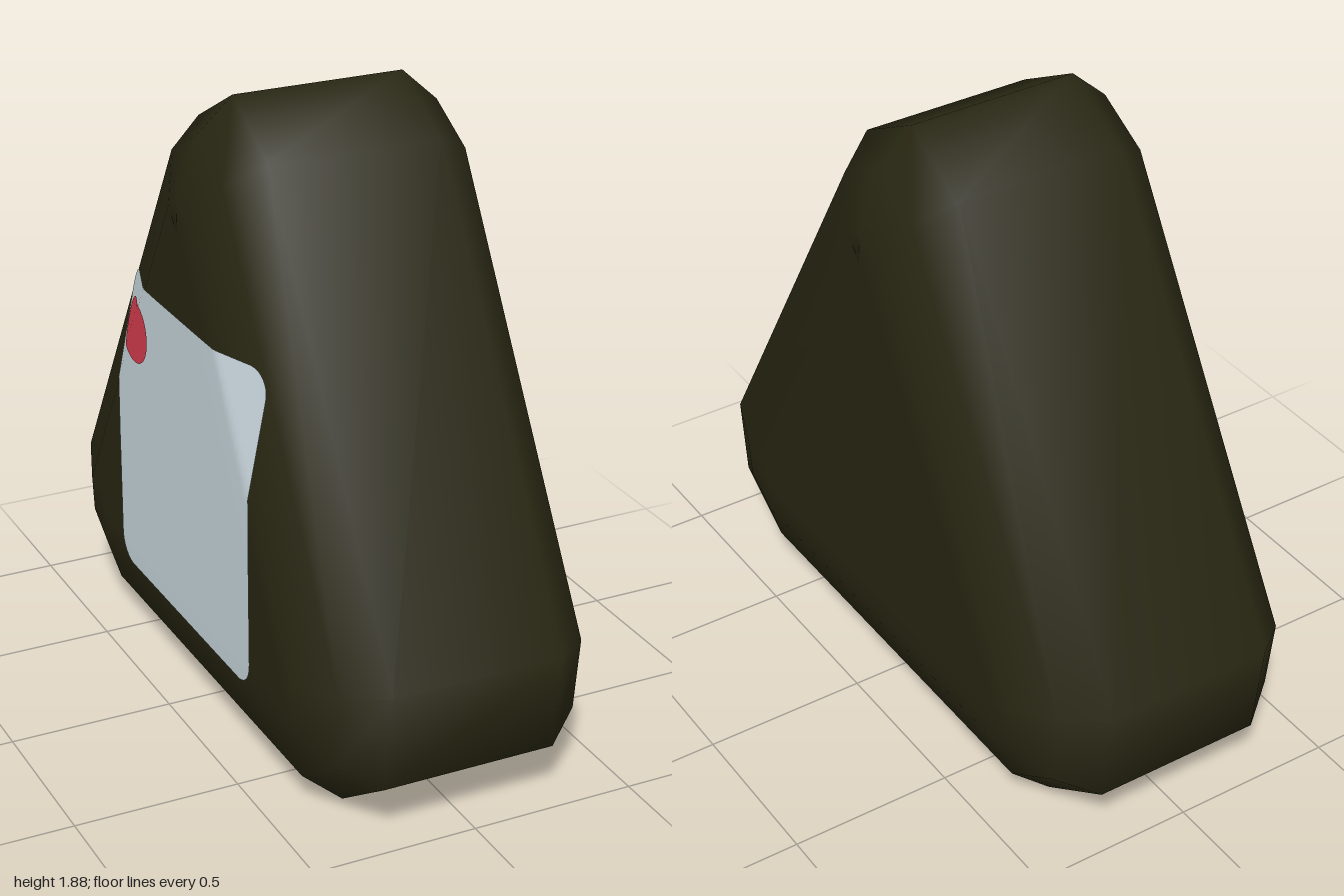
import * as THREE from 'three';

// Outline of the rounded triangle as [z, y], counter-clockwise
const half = [[0.7, 0], [0.96, 0.175], [1, 0.48], [0.24, 1.755]];
const outline = [...half, [0, 1.885], ...half.map(([z, y]) => [-z, y]).reverse()];
const N = outline.length;

// Edge profile: [inset from the outline, half thickness]
const profile = [[0, 0.265], [0.09, 0.378], [0.25, 0.44], [0.34, 0.441]];

// Inward normal of the edge that starts at outline point i
function edgeNormal(i) {
  const a = outline[(i + N) % N], b = outline[(i + 1) % N];
  const dz = b[0] - a[0], dy = b[1] - a[1], l = Math.hypot(dz, dy);
  return [-dy / l, dz / l];
}

// Outline moved inwards by d with mitred corners
function insetOutline(d) {
  return outline.map(([z, y], i) => {
    const m = edgeNormal((i + N - 1) % N), n = edgeNormal(i);
    const k = d / (1 + m[0] * n[0] + m[1] * n[1]);
    return [z + k * (m[0] + n[0]), y + k * (m[1] + n[1])];
  });
}

// Half thickness of the body at a point of the side face
function depthAt(z, y) {
  let d = Infinity;
  outline.forEach((p, i) => {
    const n = edgeNormal(i);
    d = Math.min(d, (z - p[0]) * n[0] + (y - p[1]) * n[1]);
  });
  for (let k = 1; k < profile.length; k++) {
    const [d0, x0] = profile[k - 1], [d1, x1] = profile[k];
    if (d <= d1) return x0 + (x1 - x0) * (Math.max(d, 0) - d0) / (d1 - d0);
  }
  return profile[profile.length - 1][1];
}

function makeGeometry(positions, index) {
  const g = new THREE.BufferGeometry();
  g.setAttribute('position', new THREE.Float32BufferAttribute(positions, 3));
  g.setIndex(index);
  g.computeVertexNormals();
  return g;
}

// Rings stacked from -x to +x, closed by a fan at each end
function bodyGeometry() {
  const sections = [
    ...profile.map(([d, x]) => [d, -x]).reverse(),
    ...profile,
  ];
  const positions = [], index = [];
  for (const [d, x] of sections) {
    for (const [z, y] of insetOutline(d)) positions.push(x, y, z);
  }
  const last = (sections.length - 1) * N, c = last + N;
  positions.push(-0.441, 0.8, 0, 0.441, 0.8, 0);
  for (let i = 0; i < N; i++) {
    const j = (i + 1) % N;
    for (let s = 0; s < last; s += N) {
      index.push(s + i, s + N + i, s + N + j, s + i, s + N + j, s + j);
    }
    index.push(c, i, j, c + 1, last + j, last + i);
  }
  return makeGeometry(positions, index);
}

// Thin rounded patch laid over the -x side, following its curve
function patchGeometry(cz, cy, w, h, r, lift, rows, cols) {
  const positions = [], index = [];
  for (let j = 0; j <= rows; j++) {
    const v = -h * Math.cos(Math.PI * j / rows);
    const k = Math.max(0, Math.abs(v) - (h - r));
    const hw = w - r + Math.sqrt(Math.max(0, r * r - k * k));
    for (let i = 0; i <= cols; i++) {
      const z = cz + hw * (2 * i / cols - 1), y = cy + v;
      positions.push(-depthAt(z, y) - lift, y, z);
      if (i < cols && j < rows) {
        const a = j * (cols + 1) + i, b = a + cols + 1;
        index.push(a, a + 1, b + 1, a, b + 1, b);
      }
    }
  }
  return makeGeometry(positions, index);
}

export function createModel() {
  const group = new THREE.Group();
  const material = (name, color) => {
    const m = new THREE.MeshStandardMaterial({ color });
    m.name = name;
    return m;
  };
  const add = (name, geometry, mat) => {
    const mesh = new THREE.Mesh(geometry, mat);
    mesh.name = name;
    group.add(mesh);
  };

  add('riceBallBody', bodyGeometry(), material('dark seaweed', 0x272511));
  // Label with a round red spot in its upper corner
  add('label', patchGeometry(0, 0.763, 0.47, 0.483, 0.08, 0.005, 64, 48), material('pale label', 0xc8d6dc));
  add('labelSpot', patchGeometry(-0.32, 1.09, 0.1, 0.1, 0.1, 0.011, 24, 16), material('red spot', 0xd63c4e));
  return group;
}
